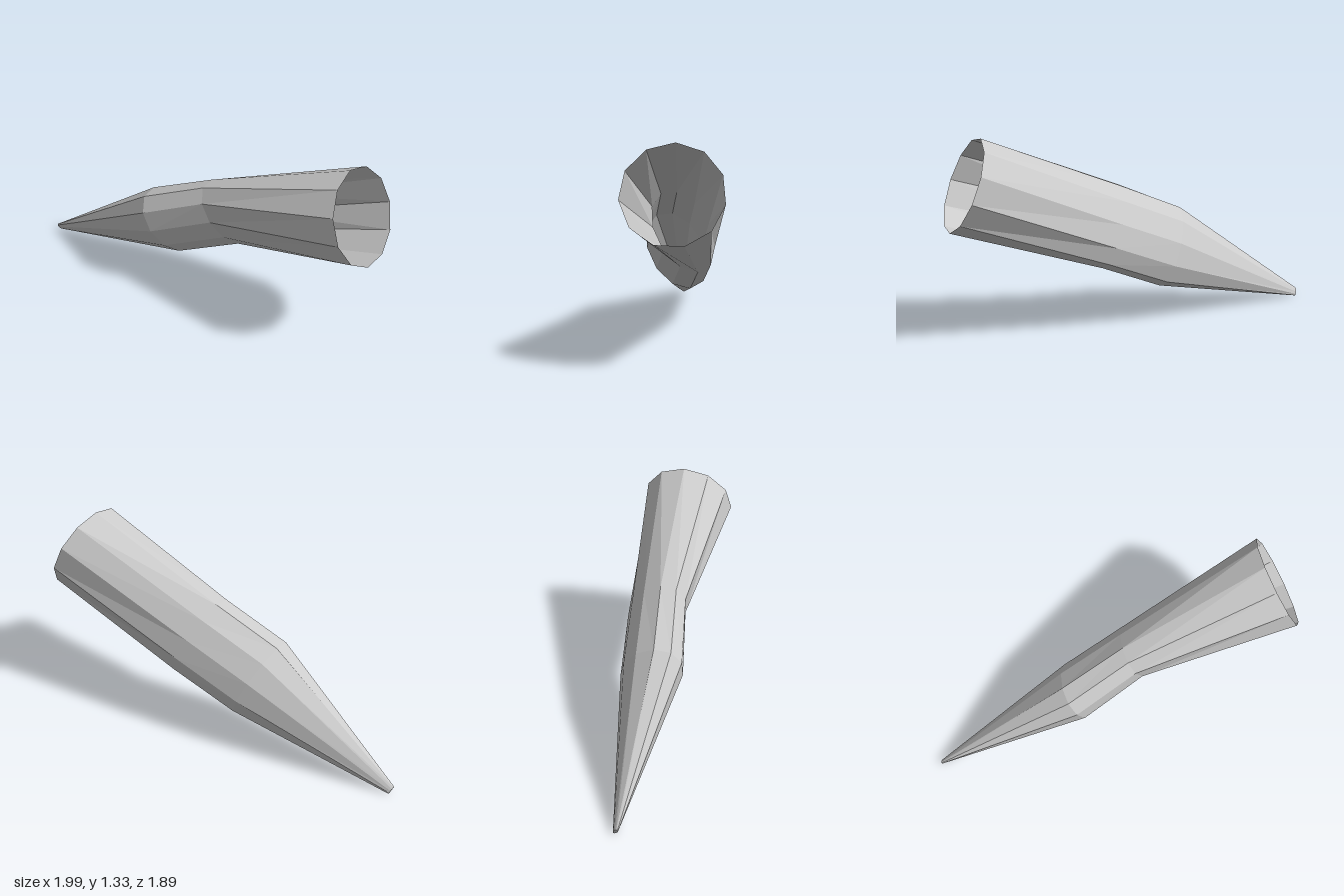
import * as THREE from 'three';

const SIDES = 11;

// Cross-sections from tip to open base: centre, long half-axis, short half-axis
const RINGS = [
  { c: [-0.98, 0.025, -0.935], a: 0.03, b: 0.012 },
  { c: [-0.265, 0.49, -0.232], a: 0.29, b: 0.185 },
  { c: [0.083, 0.685, 0.03], a: 0.295, b: 0.17 },
  { c: [0.76, 1.041, 0.728], a: 0.308, b: 0.308 },
];

export function createModel() {
  const group = new THREE.Group();
  group.name = 'horn';

  // Shared frame of the cross-sections
  const axis = new THREE.Vector3(0.636, 0.377, 0.674).normalize();
  const across = new THREE.Vector3(-0.625, 0.777, 0.085);
  across.addScaledVector(axis, -across.dot(axis)).normalize();
  const side = new THREE.Vector3().crossVectors(axis, across);

  const positions = [];
  for (const { c, a, b } of RINGS) {
    for (let k = 0; k < SIDES; k++) {
      const t = (k / SIDES) * Math.PI * 2;
      const p = new THREE.Vector3(...c)
        .addScaledVector(across, a * Math.cos(t))
        .addScaledVector(side, b * Math.sin(t));
      positions.push(p.x, p.y, p.z);
    }
  }

  // Walls between neighbouring cross-sections
  const index = [];
  for (let i = 0; i < RINGS.length - 1; i++) {
    for (let k = 0; k < SIDES; k++) {
      const k2 = (k + 1) % SIDES;
      const p = i * SIDES + k, q = i * SIDES + k2;
      index.push(p, q, p + SIDES, q, q + SIDES, p + SIDES);
    }
  }
  // Blunt tip cap
  for (let k = 1; k < SIDES - 1; k++) index.push(0, k + 1, k);

  const geometry = new THREE.BufferGeometry();
  geometry.setAttribute('position', new THREE.Float32BufferAttribute(positions, 3));
  geometry.setIndex(index);
  geometry.computeVertexNormals();

  const material = new THREE.MeshStandardMaterial({
    color: 0xcccccc, flatShading: true, side: THREE.DoubleSide,
  });
  const shell = new THREE.Mesh(geometry, material);
  shell.name = 'hornShell';
  group.add(shell);
  return group;
}
